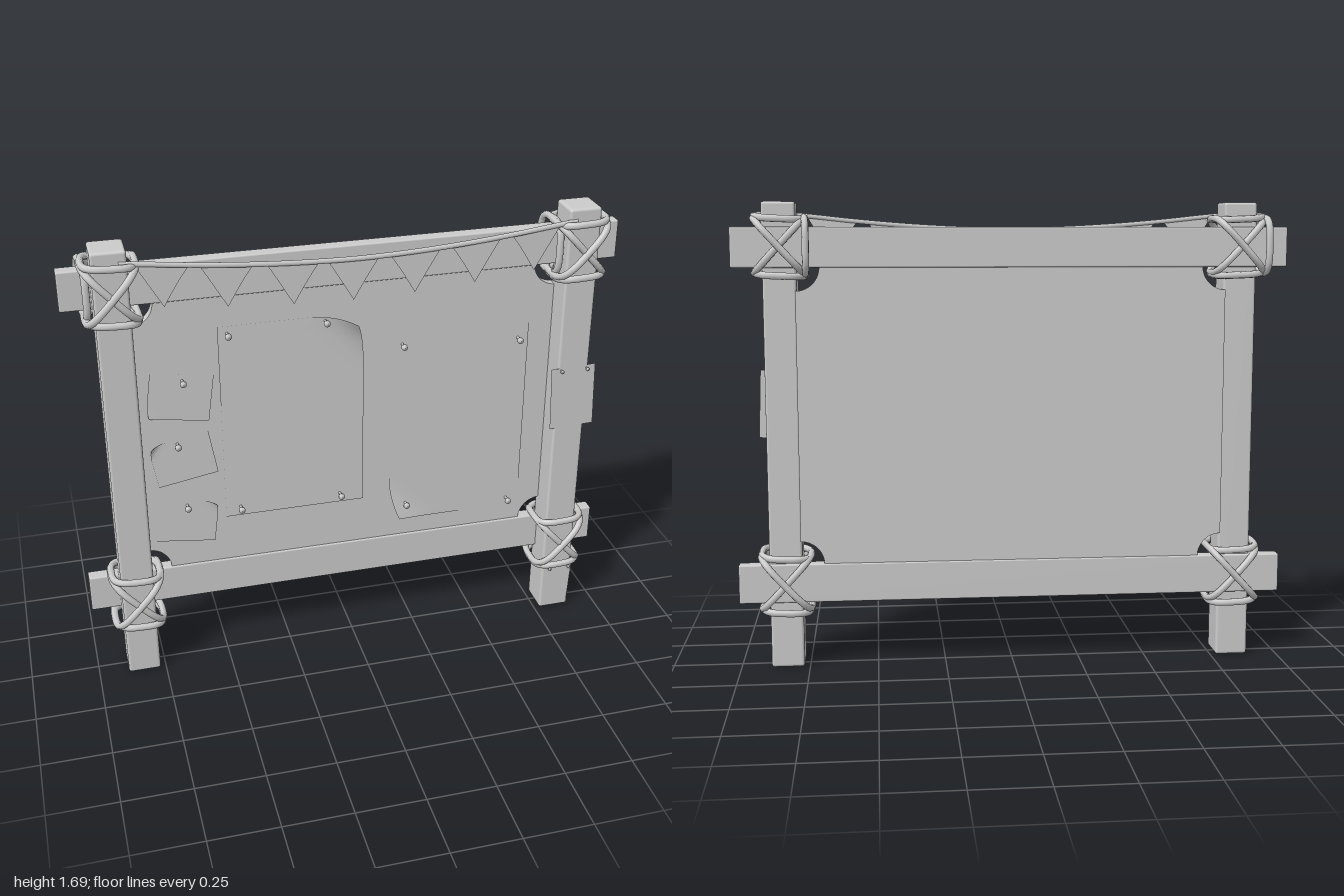
import * as THREE from 'three';
import { RoundedBoxGeometry } from 'three/addons/geometries/RoundedBoxGeometry.js';

const grey = new THREE.MeshStandardMaterial({ color: 0xcccccc, side: THREE.DoubleSide });
grey.name = 'plain grey';

export function createModel() {
  const model = new THREE.Group();
  model.name = 'noticeBoard';

  const add = (name, geometry, x = 0, y = 0, z = 0, parent = model) => {
    const mesh = new THREE.Mesh(geometry, grey);
    mesh.name = name;
    mesh.position.set(x, y, z);
    parent.add(mesh);
    return mesh;
  };

  // Posts and cross bars
  for (const side of [-1, 1]) {
    add(side > 0 ? 'leftPost' : 'rightPost', new RoundedBoxGeometry(0.12, 1.69, 0.125, 2, 0.01), side * 0.83, 0.845, 0.005);
  }
  add('bottomBar', new RoundedBoxGeometry(2, 0.143, 0.05, 2, 0.006), 0, 0.318, -0.048);
  add('topBar', new RoundedBoxGeometry(2, 0.143, 0.05, 2, 0.006), 0, 1.53, -0.048);

  // Board with scooped corners
  const w = 0.775, h = 0.537, r = 0.085;
  const outline = new THREE.Shape();
  outline.moveTo(-w + r, -h);
  outline.lineTo(w - r, -h);
  outline.absarc(w, -h, r, Math.PI, Math.PI / 2, true);
  outline.lineTo(w, h - r);
  outline.absarc(w, h, r, -Math.PI / 2, -Math.PI, true);
  outline.lineTo(-w + r, h);
  outline.absarc(-w, h, r, 0, -Math.PI / 2, true);
  outline.lineTo(-w, -h + r);
  outline.absarc(-w, -h, r, Math.PI / 2, 0, true);
  add('board', new THREE.ExtrudeGeometry(outline, { depth: 0.038, bevelEnabled: false, curveSegments: 8 }), 0, 0.924, -0.068);

  // Rope loops: a rounded-square path mapped into any plane
  const loop = (name, map, parent) => {
    const points = [];
    const soften = v => Math.sign(v) * Math.abs(v) ** 0.62;
    for (let i = 0; i < 20; i++) {
      const a = (i / 20) * Math.PI * 2;
      points.push(new THREE.Vector3(...map(soften(Math.cos(a)), soften(Math.sin(a)), a)));
    }
    const path = new THREE.CatmullRomCurve3(points, true);
    add(name, new THREE.TubeGeometry(path, 48, 0.013, 7, true), 0, 0, 0, parent);
  };
  for (const x of [-0.83, 0.83]) {
    for (const y of [0.315, 1.535]) {
      const lashing = new THREE.Group();
      lashing.name = 'lashing';
      lashing.position.set(x, y, 0);
      model.add(lashing);
      // Crossed diagonals, front and back
      for (const s of [-1, 1]) {
        loop('diagonalRope', (a, b) => [0.09 * a, s * 0.098 * a, (s > 0 ? 0.107 : 0.095) * b], lashing);
      }
      // Turns around the post above and below the bar
      for (const s of [-1, 1]) {
        loop('postRope', (a, b, t) => [0.088 * a, s * 0.1 + 0.008 * Math.sin(t + x), 0.004 + 0.088 * b], lashing);
      }
      // Extra turn around the top bar
      if (y > 1) loop('barRope', (a, b) => [-0.088 + 0.008 * b, 0.1 * a, -0.03 + 0.075 * b], lashing);
    }
  }

  // Bunting string and flags
  const stringY = x => 1.6 + 0.055 * Math.min(1, Math.abs(x / 0.78)) ** 1.8;
  const stringZ = x => 0.078 - 0.012 * (x / 0.8) ** 2;
  const stringPoints = [];
  for (let i = 0; i <= 16; i++) {
    const x = -0.8 + i * 0.1;
    stringPoints.push(new THREE.Vector3(x, stringY(x) - 0.008, stringZ(x)));
  }
  add('buntingString', new THREE.TubeGeometry(new THREE.CatmullRomCurve3(stringPoints), 40, 0.009, 6));
  [-0.66, -0.447, -0.222, -0.013, 0.206, 0.425, 0.645].forEach(x => {
    const a = x - 0.09, b = x + 0.09, top = stringY(x) - 0.01;
    const flag = new THREE.Shape();
    flag.moveTo(a, stringY(a) - 0.01);
    flag.quadraticCurveTo(x - 0.05, top - 0.06, x, top - 0.148);
    flag.quadraticCurveTo(x + 0.05, top - 0.06, b, stringY(b) - 0.01);
    add('buntingFlag', new THREE.ShapeGeometry(flag, 5), 0, 0, stringZ(x));
  });

  // Sheets of paper, with an optional curled corner (cx, cy = corner signs)
  const sheet = (name, x, y, z, width, height, turn, cx = 0, cy = 0, reach = 0.2, lift = 0.05) => {
    const geometry = new THREE.PlaneGeometry(width, height, 20, 28);
    const p = geometry.attributes.position;
    for (let i = 0; i < p.count && cx; i++) {
      const px = p.getX(i), py = p.getY(i);
      const u = Math.max(0, px * cx + py * cy - width / 2 - height / 2 + reach) / reach;
      p.setXYZ(i, px - cx * 0.6 * lift * u * u, py - cy * 0.6 * lift * u * u, lift * u * u);
    }
    geometry.computeVertexNormals();
    add(name, geometry, x, y, z).rotation.z = turn;
  };
  sheet('largePaper', -0.212, 0.962, -0.025, 0.525, 0.77, 0, 1, 1);
  sheet('largePaper', 0.416, 0.848, -0.025, 0.528, 0.775, 0, -1, -1);
  sheet('smallNote', -0.619, 1.093, -0.025, 0.226, 0.178, -0.14, -1, -1, 0.06, 0.015);
  sheet('smallNote', -0.62, 0.842, -0.025, 0.222, 0.174, 0.17, -1, 1, 0.06, 0.015);
  sheet('smallNote', -0.619, 0.58, -0.025, 0.219, 0.17, -0.13, 1, 1, 0.06, 0.015);
  sheet('postNote', 0.834, 0.957, 0.071, 0.172, 0.25, 0.04);
  sheet('postLowNote', 0.836, 0.135, 0.071, 0.106, 0.15, -0.05);

  // Push pins
  const pinProfile = [[0, 0], [0.005, 0], [0.005, 0.024], [0.012, 0.028], [0.012, 0.036], [0, 0.04]]
    .map(([x, y]) => new THREE.Vector2(x, y));
  const pinGeometry = new THREE.LatheGeometry(pinProfile, 10).rotateX(Math.PI / 2);
  const pin = (x, y, z = -0.026, size = 1) => add('pin', pinGeometry, x, y, z).scale.setScalar(size);
  [[-0.441, 1.32], [-0.09, 1.33], [-0.42, 0.615], [-0.04, 0.615],
    [0.195, 1.205], [0.639, 1.18], [0.217, 0.535], [0.63, 0.493],
    [-0.607, 1.158], [-0.639, 0.91], [-0.618, 0.65]].forEach(([x, y]) => pin(x, y));
  [[0.78, 1.072], [0.88, 1.072], [0.795, 0.195], [0.875, 0.195]].forEach(([x, y]) => pin(x, y, 0.068, 0.55));

  return model;
}
